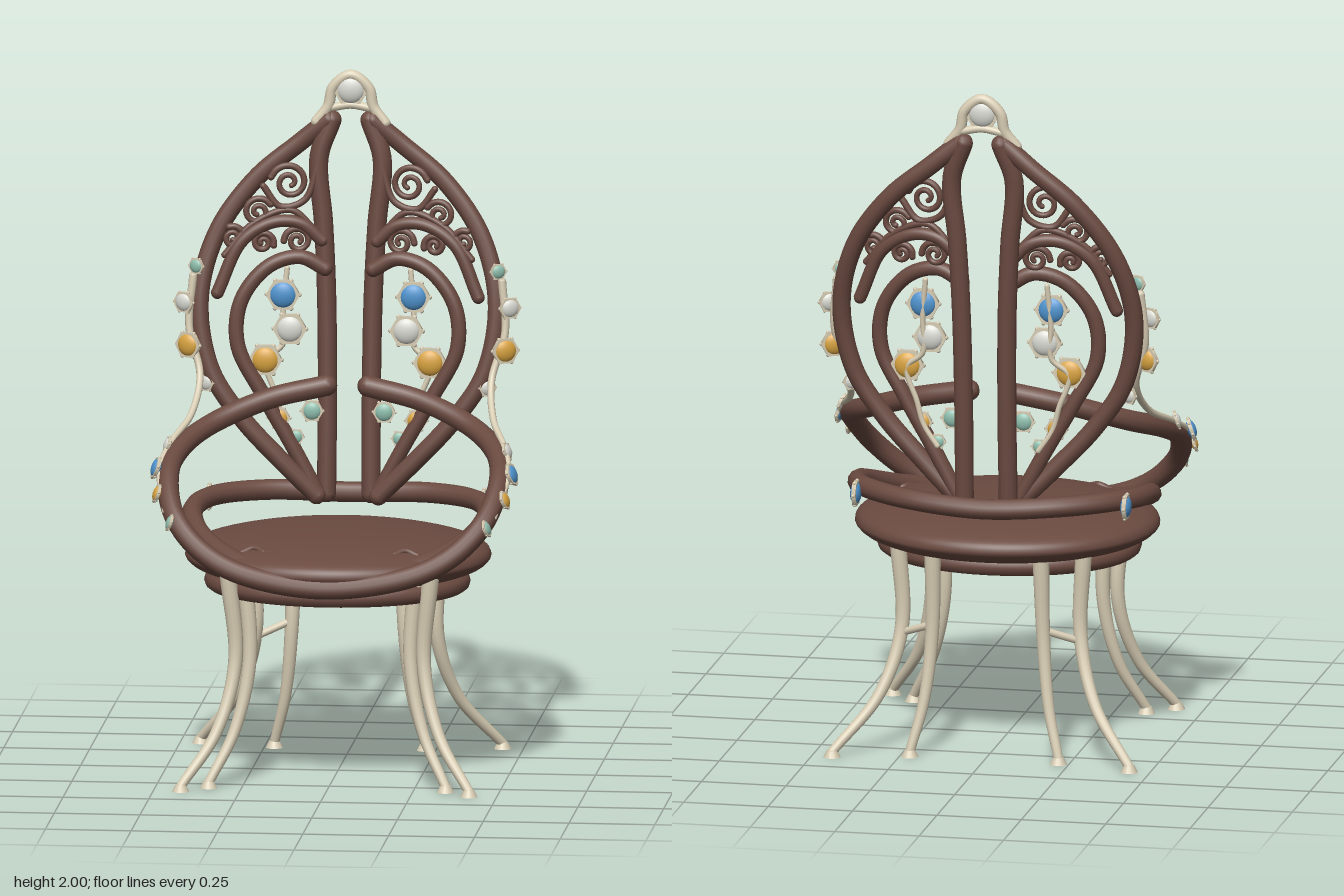
import * as THREE from 'three';

const mat = (color) => new THREE.MeshStandardMaterial({ color });
const wood = mat(0x6a4a40), cream = mat(0xd8cdb4);
const blue = mat(0x4f94cf), gold = mat(0xd9a441), white = mat(0xd9d9d2), teal = mat(0x8fbfae);
const V = (x, y, z) => new THREE.Vector3(x, y, z);

export function createModel() {
  const model = new THREE.Group();

  const add = (name, geo, material, parent = model) => {
    const m = new THREE.Mesh(geo, material);
    m.name = name;
    parent.add(m);
    return m;
  };

  // Round rod along a curve, tapering from r0 to r1, with rounded ends when open
  const rod = (name, pts, r0, r1 = r0, material = wood, closed = false, n = 48) => {
    const g = new THREE.Group();
    g.name = name;
    model.add(g);
    const curve = new THREE.CatmullRomCurve3(pts, closed);
    const geo = new THREE.TubeGeometry(curve, n, r0, 12, closed);
    const p = geo.attributes.position, v = V(0, 0, 0);
    if (r1 !== r0) {
      for (let i = 0; i <= n; i++) {
        const c = curve.getPointAt(i / n), f = 1 + (r1 / r0 - 1) * i / n;
        for (let j = 0; j <= 12; j++) {
          const k = i * 13 + j;
          v.fromBufferAttribute(p, k).sub(c).multiplyScalar(f).add(c);
          p.setXYZ(k, v.x, v.y, v.z);
        }
      }
    }
    add(name + 'Rod', geo, material, g);
    if (!closed) {
      add(name + 'Start', new THREE.SphereGeometry(r0, 12, 8), material, g).position.copy(pts[0]);
      add(name + 'End', new THREE.SphereGeometry(r1, 12, 8), material, g).position.copy(pts[pts.length - 1]);
    }
  };

  // Domed gem, showing on both faces of a six-sided cream setting with small corner beads
  const gem = (name, pos, r, material, dir = V(0, 0, 1)) => {
    const g = new THREE.Group();
    g.name = name;
    g.position.copy(pos);
    g.quaternion.setFromUnitVectors(V(0, 0, 1), dir.clone().normalize());
    model.add(g);
    add('stone', new THREE.SphereGeometry(r * 0.8, 18, 12), material, g).scale.z = 0.5;
    const plate = add('setting', new THREE.CylinderGeometry(r, r, r * 0.3, 6), cream, g);
    plate.rotation.set(Math.PI / 2, Math.PI / 6, 0);
    for (let i = 0; i < 6; i++) {
      const a = i * Math.PI / 3;
      add('bead', new THREE.SphereGeometry(r * 0.13, 8, 6), cream, g)
        .position.set(Math.cos(a) * r * 0.95, Math.sin(a) * r * 0.95, 0);
    }
  };

  // Domed seat cushion with a blunt rim, and the ring under it
  const profile = [[0, 0.575], [0.24, 0.578], [0.35, 0.588], [0.41, 0.605], [0.438, 0.625], [0.444, 0.642],
    [0.43, 0.664], [0.38, 0.684], [0.28, 0.704], [0.15, 0.714], [0, 0.718]];
  const seatCurve = new THREE.SplineCurve(profile.map(([x, y]) => new THREE.Vector2(x, y)));
  const seat = add('seat', new THREE.LatheGeometry(seatCurve.getPoints(40), 56), wood);
  seat.scale.z = 0.905;
  seat.position.z = -0.005;
  const under = add('underSeatRing', new THREE.TorusGeometry(1, 0.075, 10, 56), wood);
  under.rotation.x = Math.PI / 2;
  under.scale.set(0.36, 0.3, 0.36);
  under.position.set(0, 0.567, 0.02);

  // Mirror half a path across x = 0
  const mirrored = (half) => [...half, ...half.slice(0, -1).reverse().map((p) => V(-p.x, p.y, p.z))];

  // Arm hoop: sweeps from one side of the back, round the front, to the other
  rod('armHoop', mirrored([
    V(0.06, 1.085, -0.26), V(0.22, 1.05, -0.23), V(0.38, 0.99, -0.14), V(0.46, 0.94, -0.01),
    V(0.482, 0.885, 0.12), V(0.45, 0.785, 0.25), V(0.37, 0.7, 0.31), V(0.25, 0.64, 0.345), V(0, 0.605, 0.374),
  ]), 0.031, 0.031, wood, false, 120);

  // Lower hoop: closed rail dipping at the front
  const lower = mirrored([
    V(0, 0.61, 0.355), V(0.2, 0.64, 0.3), V(0.36, 0.69, 0.15), V(0.428, 0.745, -0.03),
    V(0.39, 0.765, -0.19), V(0.24, 0.765, -0.31), V(0, 0.755, -0.352),
  ]);
  rod('lowerHoop', lower.slice(0, -1), 0.03, 0.03, wood, true, 100);

  // The back leans and its outer edges curve forward
  const backZ = (x, y) => -0.295 - 0.06 * (y - 0.75) / 1.12 + 0.06 * Math.abs(x) / 0.44;
  const onBack = (s, list, dz = 0) => list.map(([x, y]) => V(s * x, y, backZ(x, y) + dz));

  // Spiral scroll lying in the back
  const scroll = (s, cx, cy, r, start, spin) => {
    const list = [];
    for (let i = 0; i <= 22; i++) {
      const t = i / 22, a = start + spin * t * Math.PI * 3.2, q = r * (1 - 0.8 * t);
      list.push([cx + Math.cos(a) * q, cy + Math.sin(a) * q]);
    }
    rod('scroll', onBack(s, list), 0.01, 0.008, wood, false, 44);
  };

  for (const s of [1, -1]) {
    // Wing of the back: outer frame, inner stem, heart loop, upper arch
    rod('outerFrame', [[0.065, 1.85, -0.36], [0.15, 1.78, -0.365], [0.275, 1.675, -0.355],
      [0.385, 1.52, -0.325], [0.433, 1.33, -0.285], [0.4, 1.13, -0.26], [0.31, 0.99, -0.252],
      [0.2, 0.87, -0.255], [0.09, 0.76, -0.265]].map(([x, y, z]) => V(s * x, y, z)), 0.027, 0.027, wood, false, 72);
    rod('innerStem', onBack(s, [[0.055, 1.85], [0.092, 1.74], [0.078, 1.55], [0.068, 1.34],
      [0.064, 1.05], [0.065, 0.76]], -0.017), 0.028);
    rod('heartLoop', onBack(s, [[0.07, 1.42], [0.14, 1.455], [0.23, 1.43], [0.31, 1.33], [0.32, 1.2],
      [0.25, 1.06], [0.17, 0.92], [0.09, 0.77]], 0.012), 0.022);
    rod('upperArch', onBack(s, [[0.08, 1.5], [0.14, 1.55], [0.22, 1.555], [0.31, 1.5], [0.38, 1.35]]), 0.019);

    // Scrollwork between frame and arch
    scroll(s, 0.175, 1.67, 0.055, 0.3, 1);
    scroll(s, 0.265, 1.585, 0.042, 2.6, -1);
    scroll(s, 0.15, 1.5, 0.04, 0, 1);
    scroll(s, 0.335, 1.51, 0.034, 1.2, 1);
    scroll(s, 0.25, 1.495, 0.032, 3.4, -1);
    rod('scrollStem', onBack(s, [[0.09, 1.74], [0.13, 1.62], [0.2, 1.6], [0.25, 1.66]]), 0.01);
    rod('scrollStem', onBack(s, [[0.1, 1.53], [0.17, 1.59], [0.28, 1.55], [0.36, 1.46]]), 0.01);

    // Gems hanging inside the wing and along its rim
    for (const [x, y, r, m] of [
      [0.19, 1.345, 0.05, blue], [0.17, 1.245, 0.05, white], [0.24, 1.155, 0.05, gold],
      [0.2, 0.985, 0.034, gold], [0.105, 1.005, 0.034, teal], [0.15, 0.93, 0.024, teal],
      [0.475, 1.325, 0.034, white], [0.462, 1.2, 0.042, gold], [0.41, 1.09, 0.028, white],
      [0.44, 1.43, 0.026, teal],
    ]) {
      const out = x > 0.4;
      gem(out ? 'rimGem' : 'wingGem', V(s * x, y, backZ(x, y) + 0.012), r, m, V(out ? s * 0.5 : 0, 0, 1));
    }
    rod('gemChain', onBack(s, [[0.18, 1.42], [0.19, 1.3], [0.19, 1.2], [0.24, 1.15], [0.21, 1.05],
      [0.19, 0.98], [0.15, 0.92]]), 0.008, 0.008, cream);

    // Cream vine from the wing rim down along the arm, with gems
    rod('vine', [V(s * 0.45, 1.4, -0.27), V(s * 0.46, 1.25, -0.255), V(s * 0.425, 1.12, -0.22),
      V(s * 0.44, 1.02, -0.12), V(s * 0.485, 0.96, 0), V(s * 0.508, 0.9, 0.12),
      V(s * 0.48, 0.8, 0.245)], 0.012, 0.008, cream);
    for (const [x, y, z, r, m] of [
      [0.495, 0.955, 0.025, 0.028, white], [0.518, 0.905, 0.12, 0.035, blue],
      [0.507, 0.845, 0.205, 0.029, gold], [0.462, 0.775, 0.285, 0.026, teal],
    ]) gem('armGem', V(s * x, y, z), r, m, V(s, 0.35, 0.25));
    gem('hoopGem', V(s * 0.4, 0.755, -0.24), 0.04, blue, V(s, 0, 0));

    // Legs in pairs: two at each front corner, two at each back corner
    for (const [name, pts] of [
      ['frontLeg', [[0.295, 0.62, 0.25], [0.275, 0.36, 0.24], [0.325, 0.16, 0.295], [0.42, 0.015, 0.375]]],
      ['frontInnerLeg', [[0.25, 0.62, 0.22], [0.235, 0.36, 0.225], [0.275, 0.16, 0.255], [0.345, 0.015, 0.31]]],
      ['backLeg', [[0.275, 0.62, -0.24], [0.265, 0.36, -0.235], [0.32, 0.17, -0.295], [0.44, 0.015, -0.385]]],
      ['backInnerLeg', [[0.16, 0.62, -0.3], [0.165, 0.36, -0.285], [0.185, 0.16, -0.305], [0.22, 0.015, -0.335]]],
    ]) {
      const path = pts.map(([x, y, z]) => V(s * x, y, z));
      rod(name, path, 0.025, 0.014, cream);
      const foot = add('foot', new THREE.CylinderGeometry(0.015, 0.025, 0.02, 16), cream);
      foot.position.set(path[3].x, 0.01, path[3].z);
    }
    rod('legBrace', [V(s * 0.165, 0.385, -0.285), V(s * 0.215, 0.365, -0.26), V(s * 0.265, 0.345, -0.235)],
      0.011, 0.011, cream, false, 8);

    // Small curls lying on the seat
    rod('seatCurl', [V(s * 0.36, 0.67, 0.12), V(s * 0.335, 0.686, 0.13), V(s * 0.31, 0.682, 0.165)], 0.011, 0.008);
    rod('seatCurl', [V(s * 0.255, 0.68, 0.235), V(s * 0.22, 0.695, 0.235), V(s * 0.19, 0.687, 0.255)], 0.011, 0.008);
  }

  // Crest: cream arch joining the wings around a white gem
  rod('crestArch', mirrored([V(0.1, 1.845, -0.355), V(0.066, 1.89, -0.36), V(0.052, 1.945, -0.362),
    V(0, 1.983, -0.362)]), 0.016, 0.016, cream);
  rod('crestBar', [V(-0.06, 1.885, -0.362), V(0, 1.895, -0.362), V(0.06, 1.885, -0.362)], 0.012, 0.012, cream);
  gem('crestGem', V(0, 1.94, -0.36), 0.052, white);

  return model;
}
